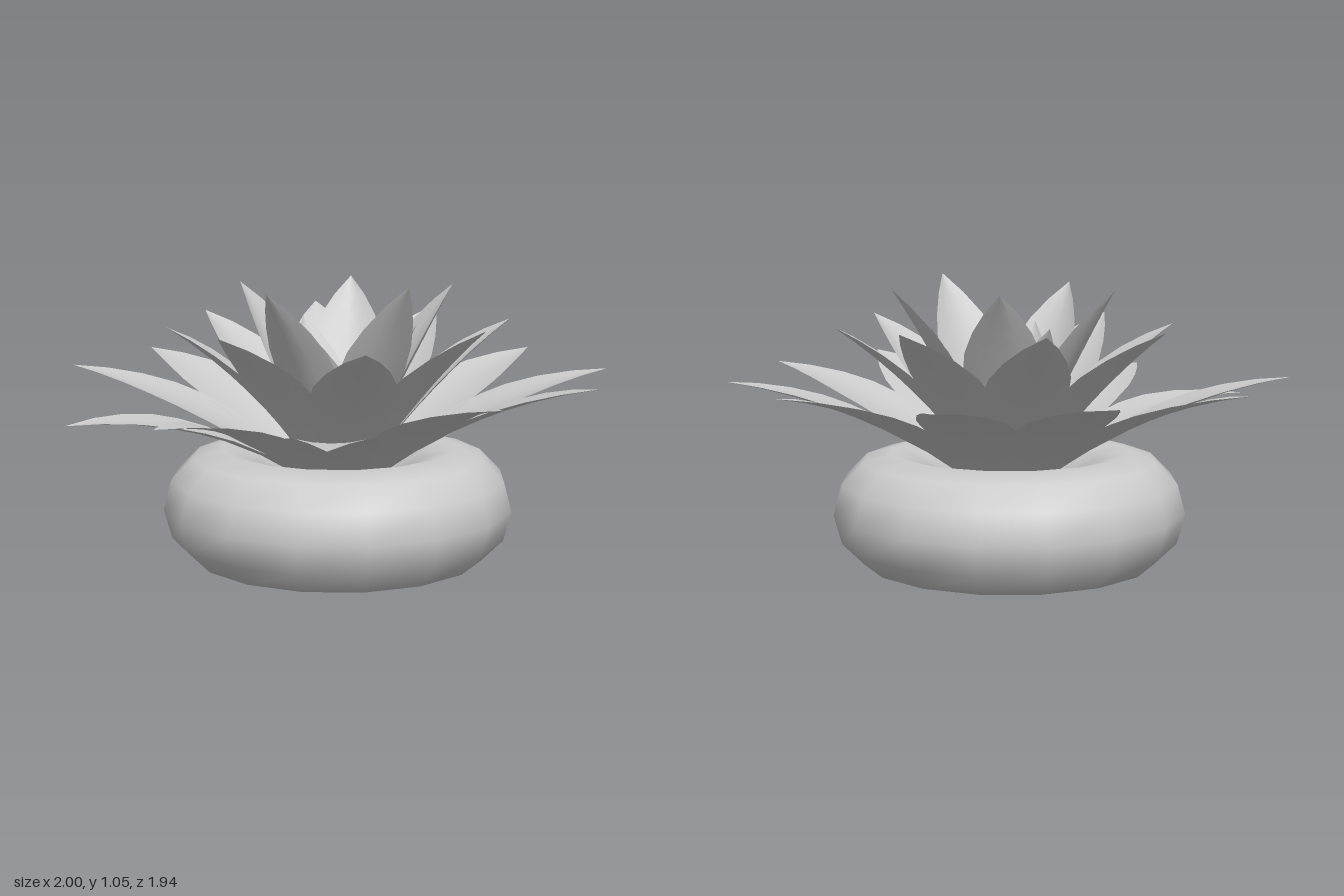
import * as THREE from 'three';

const ROWS = 8, COLS = 4;
const BASE_Y = 0.22;

// Half-width along the leaf, as a fraction of its widest point
const outline = new THREE.CatmullRomCurve3(
  [[0, 0.24], [0.25, 0.64], [0.5, 0.98], [0.64, 0.96], [0.82, 0.6], [1, 0]]
    .map(([t, w]) => new THREE.Vector3(t, w, 0))
);

// Curved, slightly cupped blade running from the middle of the pot to its tip
function leafGeometry([x, y, z], bendReach, bendY, halfWidth, cup) {
  const reach = Math.hypot(x, z);
  const dir = new THREE.Vector3(x / reach, 0, z / reach);
  const side = new THREE.Vector3(dir.z, 0, -dir.x);
  const at = (r, h) => dir.clone().multiplyScalar(r).setY(h);
  const spine = new THREE.QuadraticBezierCurve3(at(0.005, BASE_Y), at(reach * bendReach, bendY), at(reach, y));
  const positions = [], index = [];
  for (let i = 0; i <= ROWS; i++) {
    const o = outline.getPoint(i / ROWS);
    const t = Math.min(1, Math.max(0, o.x));
    const w = Math.max(0, o.y) * halfWidth;
    const centre = spine.getPoint(t);
    const normal = spine.getTangent(t).cross(side).normalize();
    for (let j = 0; j <= COLS; j++) {
      const s = (j / COLS) * 2 - 1;
      const p = centre.clone().addScaledVector(side, s * w).addScaledVector(normal, cup * w * s * s);
      positions.push(p.x, p.y, p.z);
      if (i < ROWS && j < COLS) {
        const a = i * (COLS + 1) + j, b = a + COLS + 1;
        index.push(a, b, a + 1);
        if (i < ROWS - 1) index.push(b, b + 1, a + 1);
      }
    }
  }
  const geometry = new THREE.BufferGeometry();
  geometry.setAttribute('position', new THREE.Float32BufferAttribute(positions, 3));
  geometry.setIndex(index);
  geometry.computeVertexNormals();
  return geometry;
}

// Leaf tips of each ring; bendReach and bendY place the curve's control point
const RINGS = [
  {
    name: 'outerLeaf', bendReach: 0.48, bendY: 0.615, halfWidth: 0.162, cup: 0.12,
    tips: [
      [-0.30, 0.71, -0.97], [0.26, 0.71, -0.97], [0.73, 0.70, -0.67], [1.0, 0.71, -0.17],
      [0.92, 0.70, 0.40], [0.52, 0.71, 0.81], [-0.01, 0.71, 0.97], [-0.57, 0.62, 0.845],
      [-0.93, 0.65, 0.40], [-1.0, 0.58, -0.16], [-0.76, 0.71, -0.67],
    ],
  },
  {
    name: 'middleLeaf', bendReach: 0.45, bendY: 0.655, halfWidth: 0.152, cup: 0.22,
    tips: [
      [-0.23, 0.89, -0.62], [0.26, 0.90, -0.61], [0.595, 0.90, -0.25], [0.585, 0.89, 0.235],
      [0.23, 0.90, 0.565], [-0.28, 0.86, 0.605], [-0.60, 0.89, 0.20], [-0.57, 0.88, -0.25],
    ],
  },
  {
    name: 'innerLeaf', bendReach: 0.5, bendY: 0.7, halfWidth: 0.143, cup: 0.28,
    tips: [
      [-0.22, 1.02, -0.35], [0.265, 1.02, -0.35], [0.40, 1.02, 0.135],
      [0.005, 1.05, 0.43], [-0.38, 1.02, 0.135],
    ],
  },
  {
    name: 'heartLeaf', bendReach: 0.5, bendY: 0.595, halfWidth: 0.115, cup: 0.28,
    tips: [[0.01, 0.89, -0.28], [0.245, 0.88, 0.13], [-0.22, 0.88, 0.135]],
  },
];

export function createModel() {
  const model = new THREE.Group();
  model.name = 'pottedSucculent';
  const potMaterial = new THREE.MeshStandardMaterial({ color: 0xcccccc });
  const leafMaterial = new THREE.MeshStandardMaterial({ color: 0xcccccc, side: THREE.DoubleSide });

  // Ring-shaped pot with an open middle
  const pot = new THREE.Mesh(new THREE.TorusGeometry(0.427, 0.215, 12, 16), potMaterial);
  pot.name = 'pot';
  pot.rotation.x = -Math.PI / 2;
  pot.position.set(0.006, 0.215, -0.025);
  model.add(pot);

  // Rosette of leaves, ring by ring
  for (const ring of RINGS) {
    const group = new THREE.Group();
    group.name = ring.name + 'Ring';
    for (const tip of ring.tips) {
      const geometry = leafGeometry(tip, ring.bendReach, ring.bendY, ring.halfWidth, ring.cup);
      const leaf = new THREE.Mesh(geometry, leafMaterial);
      leaf.name = ring.name;
      group.add(leaf);
    }
    model.add(group);
  }
  return model;
}
